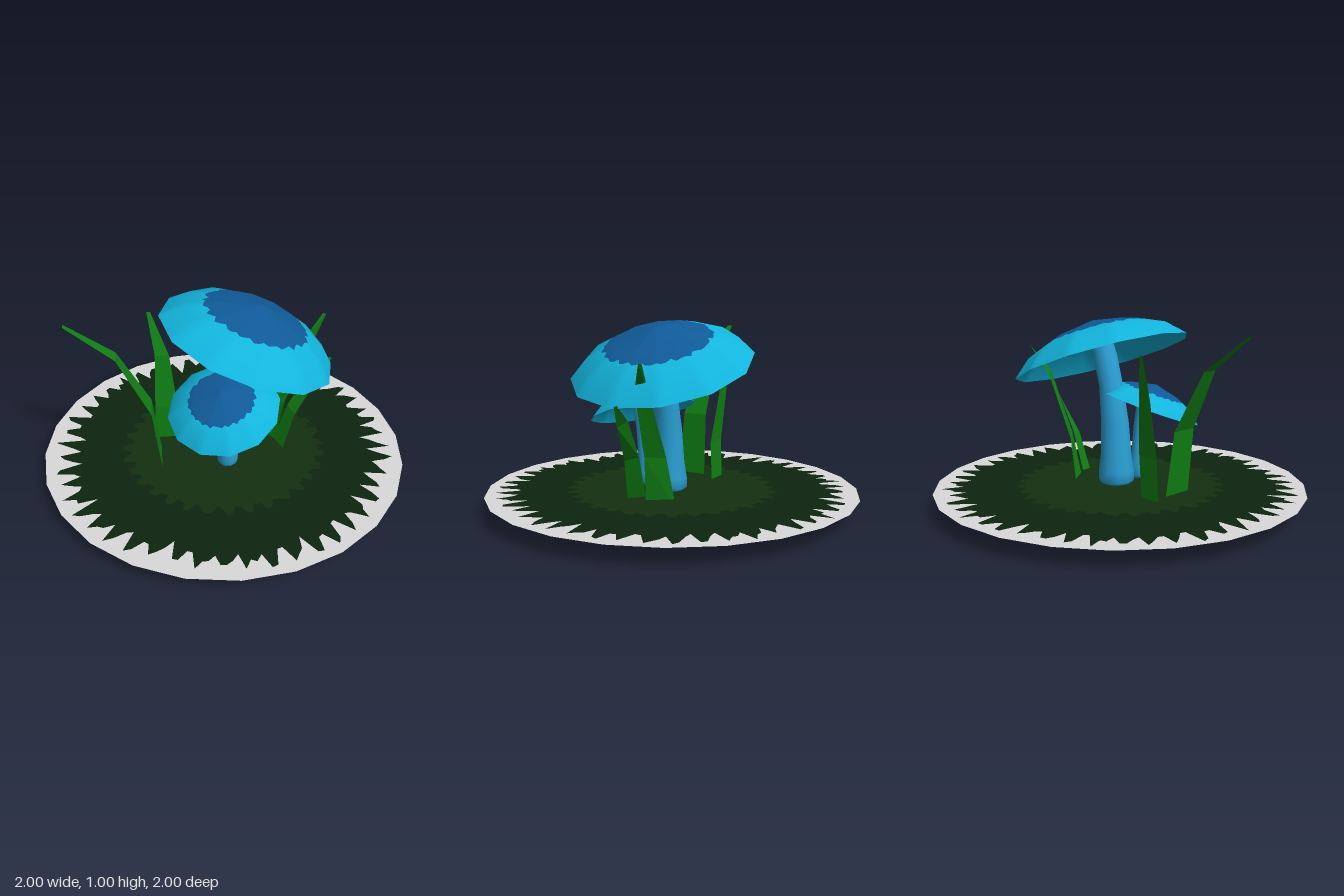
import * as THREE from 'three';

const paint = (name, color) => {
  const m = new THREE.MeshStandardMaterial({ color, side: THREE.DoubleSide });
  m.name = name;
  return m;
};

// Small seeded random, 0 to 1
function seeded(seed) {
  let s = seed;
  return () => (s = (s * 16807) % 2147483647) / 2147483647;
}

// Radius factor that turns a circle into a regular polygon
function polygon(a, sides) {
  const step = (2 * Math.PI) / sides;
  return Math.cos(step / 2) / Math.cos((a % step) - step / 2);
}

// Skin closed rings, listed from the top or middle outwards.
// slots[i] is the material index of the band after ring i.
function skin(rings, segments, slots) {
  const pos = [], index = [];
  for (const ring of rings)
    for (let j = 0; j < segments; j++) pos.push(...ring((j / segments) * 2 * Math.PI, j));
  const g = new THREE.BufferGeometry();
  for (let i = 0; i + 1 < rings.length; i++) {
    const start = index.length;
    for (let j = 0; j < segments; j++) {
      const k = (j + 1) % segments;
      const a = i * segments + j, b = i * segments + k;
      index.push(a, b + segments, a + segments, a, b, b + segments);
    }
    if (slots) g.addGroup(start, index.length - start, slots[i]);
  }
  g.setAttribute('position', new THREE.Float32BufferAttribute(pos, 3));
  g.setIndex(index);
  g.computeVertexNormals();
  return g;
}

function add(parent, name, geometry, material) {
  const m = new THREE.Mesh(geometry, material);
  m.name = name;
  parent.add(m);
  return m;
}

// Flat 24-sided ground with two ragged patches
function groundGeometry(y) {
  const N = 192, rand = seeded(77);
  const outer = [], inner = [];
  for (let j = 0; j < N; j++) {
    const tooth = j % 4;
    outer.push([0.82, 0.86, 0.91, 0.93][tooth] + (rand() - 0.5) * 0.07);
    inner.push(0.54 + (j % 6 < 3 ? 0.02 : -0.02) + (rand() - 0.5) * 0.03);
  }
  const ring = (r) => (a, j) => [Math.cos(a) * r(a, j), y, Math.sin(a) * r(a, j)];
  return skin([
    ring(() => 0),
    ring((a, j) => inner[j]),
    ring((a, j) => Math.min(outer[j], 0.985 * polygon(a, 24))),
    ring((a) => polygon(a, 24)),
  ], N, [0, 1, 2]);
}

// Open 12-sided dome with a ragged darker crown
function capGeometry(seed) {
  const N = 72, rand = seeded(seed);
  const jag = Array.from({ length: N }, (_, j) => 0.272 + (j % 3) * 0.009 + rand() * 0.015);
  const profile = [[0, 0.215], [0.24, 0.158], [0.39, 0.09], [0.484, 0]];
  const height = (r) => {
    const i = r < 0.24 ? 0 : r < 0.39 ? 1 : 2;
    const [r0, h0] = profile[i], [r1, h1] = profile[i + 1];
    return h0 + ((h1 - h0) * (r - r0)) / (r1 - r0);
  };
  const ring = (r) => (a, j) => {
    const q = r(j), p = q * polygon(a, 12);
    return [Math.cos(a) * p, height(q), Math.sin(a) * p];
  };
  return skin([
    ring(() => 0), ring(() => 0.24), ring((j) => jag[j]), ring(() => 0.39), ring(() => 0.484),
  ], N, [0, 0, 1, 1]);
}

// Bent stem from [x, y, z, radius] sections, top first
function stemGeometry(sections) {
  return skin(sections.map(([x, y, z, r]) => (a) => [x + Math.cos(a) * r, y, z + Math.sin(a) * r]), 10);
}

// Grass blade from its two edges, base first
function bladeGeometry(left, right) {
  const pos = [];
  for (let i = 0; i + 1 < left.length; i++)
    pos.push(...left[i], ...right[i], ...right[i + 1], ...left[i], ...right[i + 1], ...left[i + 1]);
  const g = new THREE.BufferGeometry();
  g.setAttribute('position', new THREE.Float32BufferAttribute(pos, 3));
  g.computeVertexNormals();
  return g;
}

export function createModel() {
  const capBlue = paint('capBlue', 0x12b4dc);
  const crownBlue = paint('crownBlue', 0x105a98);
  const stemBlue = paint('stemBlue', 0x2a9fd4);
  const grassGreen = paint('grassGreen', 0x108014);
  const soilGreen = paint('soilGreen', 0x0e2410);
  const mossGreen = paint('mossGreen', 0x133010);
  const rimGrey = paint('rimGrey', 0xdadada);

  const model = new THREE.Group();
  model.name = 'mushrooms';

  add(model, 'ground', groundGeometry(0.095), [mossGreen, soilGreen, rimGrey]);

  // Caps: rim centre, axis, scale
  const caps = [
    ['largeCap', [0.125, 0.77, -0.015], [0.342, 0.94, -0.03], 1, 11],
    ['smallCap', [-0.015, 0.495, 0.2], [-0.165, 0.936, 0.31], 0.61, 29],
  ];
  for (const [name, centre, axis, scale, seed] of caps) {
    const cap = add(model, name, capGeometry(seed), [crownBlue, capBlue]);
    cap.position.set(...centre);
    cap.quaternion.setFromUnitVectors(new THREE.Vector3(0, 1, 0), new THREE.Vector3(...axis).normalize());
    cap.scale.setScalar(scale);
  }

  add(model, 'largeStem', stemGeometry([
    [0.17, 0.93, -0.01, 0.065], [0.12, 0.79, 0, 0.067], [0.07, 0.62, 0, 0.067],
    [0.042, 0.43, 0, 0.077], [0.032, 0.25, 0, 0.085], [0.03, 0.16, 0, 0.098],
    [0.03, 0.11, 0, 0.098], [0.03, 0.085, 0, 0.075], [0.03, 0.08, 0, 0],
  ]), stemBlue);
  add(model, 'smallStem', stemGeometry([
    [0, 0.58, 0.21, 0.045], [0.005, 0.52, 0.195, 0.046], [0.008, 0.4, 0.175, 0.046],
    [0.01, 0.25, 0.16, 0.047], [0.01, 0.17, 0.155, 0.057], [0.01, 0.12, 0.155, 0.057],
    [0.01, 0.1, 0.155, 0.045], [0.01, 0.097, 0.155, 0],
  ]), stemBlue);

  // Grass blades: left edge, right edge
  const blades = {
    uprightBlade: [
      [[-0.39, 0.005, -0.1], [-0.375, 0.31, -0.1], [-0.362, 0.62, -0.14], [-0.395, 0.845, -0.225]],
      [[-0.275, 0, -0.1], [-0.25, 0.31, -0.1], [-0.285, 0.62, -0.14], [-0.375, 0.845, -0.225]],
    ],
    leaningBlade: [
      [[-0.345, 0.06, -0.005], [-0.39, 0.44, 0.01], [-0.555, 0.76, 0.035], [-0.8, 0.945, 0.055]],
      [[-0.345, 0.06, 0.165], [-0.39, 0.44, 0.155], [-0.555, 0.76, 0.12], [-0.8, 0.945, 0.085]],
    ],
    tallRightBlade: [
      [[0.195, 0.045, -0.145], [0.265, 0.32, -0.13], [0.435, 0.66, -0.14], [0.555, 0.82, -0.18]],
      [[0.285, 0.02, -0.02], [0.345, 0.33, -0.05], [0.485, 0.68, -0.09], [0.57, 0.82, -0.17]],
    ],
    shortRightBlade: [
      [[0.29, 0.11, -0.02], [0.36, 0.33, -0.03], [0.47, 0.53, -0.04], [0.58, 0.62, -0.055]],
      [[0.33, 0.1, 0.065], [0.39, 0.31, 0.04], [0.505, 0.5, 0], [0.59, 0.615, -0.045]],
    ],
  };
  for (const [name, [left, right]] of Object.entries(blades))
    add(model, name, bladeGeometry(left, right), grassGreen);

  return model;
}
